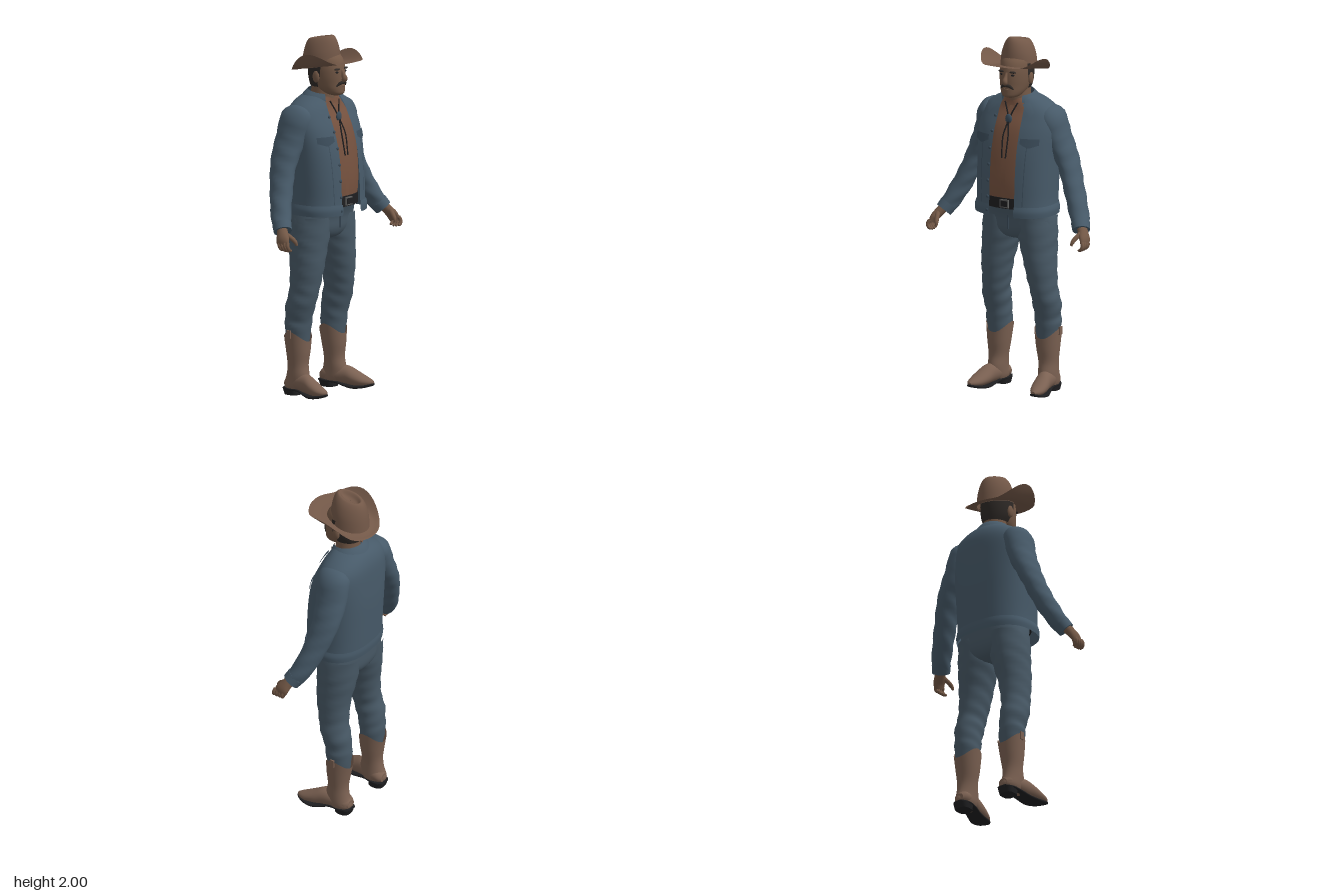
import * as THREE from 'three';

const mat = (name, color, side = THREE.FrontSide) =>
  Object.assign(new THREE.MeshStandardMaterial({ color, side }), { name });
const M = {
  jacket: mat('denim jacket', 0x475a69, THREE.DoubleSide),
  trim: mat('dark denim trim', 0x3b4c5a, THREE.DoubleSide),
  jeans: mat('denim jeans', 0x485966),
  hat: mat('felt hat', 0x735848, THREE.DoubleSide),
  skin: mat('skin', 0x735846),
  shirt: mat('brown shirt', 0x76523f, THREE.DoubleSide),
  boot: mat('boot leather', 0x7b6152, THREE.DoubleSide),
  black: mat('black leather', 0x1f1f21),
  hair: mat('dark hair', 0x2e2926, THREE.DoubleSide),
  metal: mat('dull metal', 0x5f5f5e),
};

// Section row: [x, y, z, radiusU, radiusV, squareness = 1, front opening half-width = 0]
const catmull = (a, b, c, d, t) =>
  0.5 * (2 * b + (c - a) * t + (2 * a - 5 * b + 4 * c - d) * t * t + (3 * b - a - 3 * c + d) * t ** 3);
function resample(rows, sub) {
  const R = rows.map((r) => [...r.slice(0, 5), r[5] ?? 1, r[6] ?? 0]), out = [];
  for (let i = 0; i < R.length - 1; i++)
    for (let s = 0; s < sub; s++)
      out.push(R[i].map((b, k) =>
        catmull((R[i - 1] ?? R[i])[k], b, R[i + 1][k], (R[i + 2] ?? R[i + 1])[k], s / sub)));
  out.push(R[R.length - 1]);
  return out;
}

// Skin through sections. axis 'y' runs downwards, 'z' forwards, 'free' follows the path.
function sweep(rows, { axis = 'y', n = 28, sub = 4, cap = false, warp = null } = {}) {
  const R = resample(rows, sub), open = R.some((r) => r[6] > 0), cols = open ? n + 1 : n;
  const X = new THREE.Vector3(1, 0, 0), Y = new THREE.Vector3(0, 1, 0), Z = new THREE.Vector3(0, 0, 1);
  const at = (i) => new THREE.Vector3(...R[Math.max(0, Math.min(R.length - 1, i))].slice(0, 3));
  const pow = (v, e) => Math.sign(v) * Math.abs(v) ** e;
  const ring = (i, k = 1) => {
    const [, , , ru, rv, e, w] = R[i], c = at(i);
    let u = X, v = axis === 'z' ? Y : Z;
    if (axis === 'free') {
      const t = at(i + 1).sub(at(i - 1)).normalize();
      u = Z.clone().cross(t).normalize();
      v = t.clone().cross(u);
    }
    const gap = open ? Math.asin(Math.min(1, w / ru) ** (1 / e)) : 0;
    return Array.from({ length: cols }, (_, j) => {
      const a = Math.PI / 2 + gap + (2 * Math.PI - 2 * gap) * (j / n);
      const p = c.clone().addScaledVector(u, k * ru * pow(Math.cos(a), e))
        .addScaledVector(v, k * rv * pow(Math.sin(a), e));
      if (warp) warp(p, a);
      return p;
    });
  };
  const rings = R.map((_, i) => ring(i)), last = R.length - 1;
  if (cap) {
    rings.unshift(ring(0, 0), ring(0));
    rings.push(ring(last), ring(last, 0));
  }
  const idx = [];
  for (let i = 0; i < rings.length - 1; i++) {
    if (cap && (i === 1 || i === rings.length - 3)) continue;
    for (let j = 0; j < n; j++) {
      const a = i * cols + j, b = i * cols + ((j + 1) % cols);
      idx.push(a, b, a + cols, b, b + cols, a + cols);
    }
  }
  const g = new THREE.BufferGeometry().setFromPoints(rings.flat());
  g.setIndex(idx);
  g.computeVertexNormals();
  return g;
}

// Front surface depth of a vertical body, and a four-cornered patch laid on it
function frontZ(rows, x, y) {
  const R = resample(rows, 4);
  let i = R.findIndex((r) => r[1] <= y);
  if (i < 1) i = i < 0 ? R.length - 1 : 1;
  const t = (y - R[i - 1][1]) / (R[i][1] - R[i - 1][1]);
  const [cx, , cz, rx, rz, e] = R[i].map((b, k) => THREE.MathUtils.lerp(R[i - 1][k], b, t));
  return cz + rz * Math.max(0, 1 - Math.abs((x - cx) / rx) ** (2 / e)) ** (e / 2);
}
function patch(rows, corners, lift) {
  const g = new THREE.PlaneGeometry(1, 1, 8, 6), p = g.attributes.position;
  const [a, b, c, d] = corners.map((q) => new THREE.Vector2(...q)); // counter-clockwise
  for (let i = 0; i < p.count; i++) {
    const s = p.getX(i) + 0.5, t = p.getY(i) + 0.5;
    const q = a.clone().lerp(b, s).lerp(d.clone().lerp(c, s), t);
    p.setXYZ(i, q.x, q.y, frontZ(rows, q.x, q.y) + lift);
  }
  g.computeVertexNormals();
  return g;
}
const ball = (x, y, z, sx, sy, sz) => new THREE.SphereGeometry(1, 16, 12).scale(sx, sy, sz).translate(x, y, z);
const box = (x, y, z, w, h, d) => new THREE.BoxGeometry(w, h, d).translate(x, y, z);
const fold = (amount) => (p) => { p.x += amount * Math.sin(p.y * 75 + p.z * 30); };

export function createModel() {
  const root = new THREE.Group();
  root.name = 'cowboy';
  const add = (name, geo, material) => {
    const m = new THREE.Mesh(geo, material);
    m.name = name;
    root.add(m);
  };
  const addPair = (name, geo, material) => {
    const g = geo.clone().scale(-1, 1, 1), ix = g.index.array;
    for (let i = 0; i < ix.length; i += 3) [ix[i], ix[i + 1]] = [ix[i + 1], ix[i]];
    add(name + 'Left', geo, material);
    add(name + 'Right', g, material);
  };

  // Hat: creased crown and a brim that dips at the back and curls up at the sides
  const hatWarp = (p) => {
    if (p.y > 1.9) p.x *= 1 - 0.9 * Math.max(0, p.z + 0.03) * (p.y - 1.9) / 0.09;
    p.y += 0.2 * p.z + 0.075 * (Math.max(0, Math.abs(p.x) - 0.1) / 0.086) ** 2;
  };
  add('hatCrown', sweep([
    [-0.005, 1.965, -0.04, 0.001, 0.002], [-0.005, 1.972, -0.04, 0.02, 0.045], [-0.005, 1.993, -0.04, 0.04, 0.068],
    [-0.005, 1.982, -0.04, 0.058, 0.085], [-0.005, 1.95, -0.04, 0.077, 0.098], [-0.005, 1.9, -0.04, 0.092, 0.107],
    [-0.005, 1.83, -0.04, 0.1, 0.112]], { n: 40, warp: hatWarp }), M.hat);
  add('hatBrim', sweep([
    [-0.005, 1.833, -0.04, 0.097, 0.109], [-0.005, 1.83, -0.025, 0.13, 0.15],
    [-0.005, 1.831, -0.01, 0.165, 0.182], [-0.005, 1.83, 0, 0.186, 0.2]], { n: 48, warp: hatWarp }), M.hat);

  // Head, neck and face
  add('head', sweep([
    [0, 1.92, -0.02, 0.04, 0.05], [0, 1.88, -0.015, 0.078, 0.095], [0, 1.83, -0.005, 0.085, 0.106],
    [0, 1.78, 0, 0.084, 0.106], [0, 1.74, 0.006, 0.078, 0.1], [0, 1.705, 0.025, 0.066, 0.082],
    [0, 1.68, 0.045, 0.046, 0.058], [0, 1.668, 0.052, 0.015, 0.02]], { cap: true }), M.skin);
  add('neck', sweep([[0, 1.78, -0.035, 0.065, 0.07], [0, 1.7, -0.03, 0.064, 0.068], [0, 1.6, -0.035, 0.075, 0.07]]), M.skin);
  add('nose', sweep([
    [0, 1.815, 0.098, 0.008, 0.008], [0, 1.79, 0.109, 0.01, 0.012],
    [0, 1.767, 0.119, 0.016, 0.017], [0, 1.755, 0.108, 0.012, 0.01]], { axis: 'free', n: 14, cap: true }), M.skin);
  add('hair', sweep([
    [0, 1.86, -0.014, 0.088, 0.104, 1, 0.084], [0, 1.8, -0.012, 0.09, 0.106, 1, 0.087],
    [0, 1.75, -0.012, 0.085, 0.1, 1, 0.0845], [0, 1.715, -0.02, 0.07, 0.085, 1, 0.0697]]), M.hair);
  addPair('ear', ball(0.088, 1.775, -0.012, 0.012, 0.034, 0.022), M.skin);
  addPair('eyebrow', ball(0.034, 1.82, 0.094, 0.022, 0.006, 0.01), M.hair);
  addPair('eye', ball(0.034, 1.803, 0.093, 0.012, 0.006, 0.006), M.black);
  addPair('moustache', sweep([
    [0, 1.744, 0.108, 0.008, 0.009], [0.02, 1.742, 0.104, 0.009, 0.009], [0.04, 1.724, 0.092, 0.003, 0.004]],
  { axis: 'free', n: 12, cap: true }), M.hair);
  add('lowerLip', ball(0, 1.722, 0.1, 0.02, 0.005, 0.009), M.skin);

  // Shirt with collar and cord tie
  const shirt = [
    [0, 1.665, -0.04, 0.072, 0.075], [0, 1.6, -0.055, 0.15, 0.1, 0.85], [0, 1.5, -0.04, 0.19, 0.132, 0.8],
    [0, 1.36, -0.03, 0.2, 0.152, 0.8], [0, 1.2, -0.02, 0.195, 0.157, 0.8], [0, 1.08, -0.02, 0.19, 0.152, 0.85]];
  const onShirt = (x, y, lift = 0) => new THREE.Vector3(x, y, frontZ(shirt, x, y) + lift);
  add('shirt', sweep(shirt), M.shirt);
  addPair('shirtCollar', patch(shirt, [[0.045, 1.6], [0.075, 1.625], [0.06, 1.66], [0.008, 1.65]], 0.012), M.shirt);
  add('shirtPlacket', patch(shirt, [[-0.013, 1.12], [0.013, 1.12], [0.013, 1.62], [-0.013, 1.62]], 0.004), M.shirt);
  addPair('tieCord', new THREE.TubeGeometry(new THREE.CatmullRomCurve3([
    onShirt(0.04, 1.64, 0.016), onShirt(0.004, 1.55, 0.008), onShirt(0.016, 1.46, 0.008), onShirt(0.012, 1.34, 0.008)]),
  24, 0.004, 6), M.black);
  add('tieSlide', ball(0, 1.552, onShirt(0, 1.552).z + 0.01, 0.021, 0.027, 0.01), M.trim);

  // Open jacket
  const jacket = [
    [0.005, 1.675, -0.05, 0.09, 0.078, 1, 0.062], [0.005, 1.648, -0.06, 0.15, 0.098, 0.95, 0.07],
    [0.005, 1.61, -0.06, 0.205, 0.118, 0.9, 0.076], [0.005, 1.56, -0.055, 0.235, 0.134, 0.85, 0.078],
    [0.005, 1.48, -0.04, 0.24, 0.153, 0.8, 0.08], [0.005, 1.36, -0.025, 0.233, 0.17, 0.8, 0.08],
    [0.005, 1.22, -0.015, 0.228, 0.175, 0.8, 0.08], [0.005, 1.1, -0.01, 0.225, 0.175, 0.8, 0.08],
    [0.005, 1.02, -0.005, 0.23, 0.175, 0.8, 0.08]];
  add('jacketBody', sweep(jacket, { n: 48 }), M.jacket);
  add('jacketHem', sweep([
    [0.005, 1.078, -0.008, 0.228, 0.178, 0.8, 0.08], [0.005, 1.05, -0.006, 0.236, 0.181, 0.8, 0.08],
    [0.005, 1.018, -0.005, 0.234, 0.178, 0.8, 0.08]], { n: 48 }), M.jacket);
  add('jacketCollar', sweep([
    [0, 1.688, -0.035, 0.083, 0.08, 1, 0.055], [0, 1.665, -0.042, 0.105, 0.092, 1, 0.06],
    [0, 1.632, -0.05, 0.128, 0.103, 1, 0.064]], { warp: (p) => { p.y -= 0.16 * (p.z + 0.04); } }), M.jacket);
  addPair('collarPoint', patch(jacket, [[0.135, 1.572], [0.148, 1.6], [0.105, 1.65], [0.072, 1.635]], 0.012), M.jacket);
  addPair('pocketFlap', patch(jacket, [[0.1, 1.43], [0.2, 1.425], [0.2, 1.46], [0.1, 1.46]], 0.008), M.trim);
  addPair('pocketFlapPoint', patch(jacket, [[0.145, 1.41], [0.155, 1.41], [0.2, 1.426], [0.1, 1.431]], 0.008), M.trim);
  addPair('chestSeam', patch(jacket, [[0.128, 1.08], [0.132, 1.08], [0.142, 1.42], [0.138, 1.42]], 0.003), M.trim);
  for (const y of [1.56, 1.48, 1.39, 1.3, 1.21, 1.12, 1.045])
    add('jacketButton', ball(-0.085, y, frontZ(jacket, -0.085, y) + 0.006, 0.009, 0.009, 0.005), M.trim);

  // Sleeves and cuffs
  addPair('sleeve', sweep([
    [0.15, 1.59, -0.06, 0.04, 0.07], [0.185, 1.555, -0.065, 0.075, 0.1], [0.222, 1.45, -0.078, 0.069, 0.094],
    [0.265, 1.36, -0.083, 0.061, 0.086], [0.3, 1.28, -0.077, 0.055, 0.077], [0.335, 1.19, -0.057, 0.054, 0.069],
    [0.375, 1.1, -0.03, 0.054, 0.062], [0.415, 1.02, 0.005, 0.05, 0.056], [0.44, 0.975, 0.035, 0.044, 0.048]],
  { axis: 'free', cap: true, warp: fold(0.003) }), M.jacket);
  addPair('cuff', sweep([[0.424, 1.004, 0.016, 0.05, 0.055], [0.443, 0.97, 0.038, 0.047, 0.051]],
    { axis: 'free', cap: true }), M.jacket);

  // Hands
  addPair('palm', sweep([
    [0.44, 0.99, 0.03, 0.026, 0.03], [0.462, 0.96, 0.05, 0.026, 0.032],
    [0.482, 0.93, 0.068, 0.022, 0.04], [0.49, 0.903, 0.08, 0.014, 0.036]], { axis: 'free', n: 18, cap: true }), M.skin);
  for (let i = 0; i < 4; i++) {
    const z = 0.052 + i * 0.019, tip = 0.875 - 0.007 * Math.sin(i * 1.05);
    addPair('finger', sweep([
      [0.49, 0.92, z, 0.011, 0.01], [0.498, 0.9, z + 0.006, 0.011, 0.01],
      [0.49, 0.882, z + 0.01, 0.01, 0.009], [0.474, tip, z + 0.012, 0.006, 0.006]],
    { axis: 'free', n: 10, cap: true }), M.skin);
  }
  addPair('thumb', sweep([
    [0.465, 0.965, 0.065, 0.015, 0.014], [0.447, 0.94, 0.1, 0.013, 0.013],
    [0.438, 0.918, 0.122, 0.011, 0.011], [0.434, 0.898, 0.128, 0.006, 0.006]], { axis: 'free', n: 12, cap: true }), M.skin);

  // Belt and buckle
  add('belt', sweep([[0, 1.115, -0.02, 0.194, 0.158, 0.85], [0, 1.055, -0.022, 0.198, 0.158, 0.85]], { cap: true }), M.black);
  add('buckleFrame', box(0.01, 1.085, 0.14, 0.056, 0.046, 0.009), M.metal);
  add('buckleCentre', box(0.01, 1.085, 0.144, 0.042, 0.032, 0.009), M.black);

  // Jeans
  add('jeansHips', sweep([
    [0, 1.075, -0.028, 0.192, 0.148, 0.85], [0, 1.0, -0.042, 0.212, 0.13, 0.85], [0, 0.93, -0.044, 0.213, 0.122, 0.9],
    [0, 0.885, -0.044, 0.15, 0.1], [0, 0.865, -0.044, 0.05, 0.06]], { cap: true }), M.jeans);
  addPair('jeansLeg', sweep([
    [0.105, 1.0, -0.045, 0.108, 0.126], [0.112, 0.9, -0.042, 0.11, 0.12], [0.123, 0.82, -0.04, 0.1, 0.112],
    [0.138, 0.72, -0.034, 0.088, 0.1], [0.148, 0.62, -0.04, 0.078, 0.09], [0.156, 0.56, -0.048, 0.074, 0.087],
    [0.16, 0.5, -0.064, 0.078, 0.086], [0.157, 0.43, -0.077, 0.071, 0.077], [0.157, 0.38, -0.082, 0.073, 0.074],
    [0.156, 0.28, -0.083, 0.06, 0.06]], { warp: fold(0.003) }), M.jeans);
  add('jeansFly', box(0, 0.99, 0.088, 0.005, 0.12, 0.006), M.trim);

  // Boots: scalloped shaft, pointed foot, dark sole and heel
  addPair('bootShaft', sweep([
    [0.155, 0.333, -0.085, 0.077, 0.076], [0.157, 0.25, -0.081, 0.067, 0.068], [0.16, 0.17, -0.08, 0.055, 0.06],
    [0.162, 0.11, -0.078, 0.053, 0.07], [0.162, 0.06, -0.088, 0.052, 0.077], [0.162, 0.038, -0.09, 0.046, 0.07]],
  { warp: (p, a) => { p.y += Math.max(0, p.y - 0.2) * 0.21 * Math.cos(2 * a); } }), M.boot);
  addPair('bootFoot', sweep([
    [0.155, 0.06, -0.16, 0.028, 0.025], [0.158, 0.068, -0.13, 0.047, 0.042], [0.165, 0.072, -0.06, 0.051, 0.05],
    [0.178, 0.07, 0, 0.047, 0.052], [0.188, 0.056, 0.05, 0.049, 0.042], [0.197, 0.044, 0.1, 0.043, 0.029],
    [0.203, 0.04, 0.135, 0.028, 0.018], [0.206, 0.04, 0.155, 0.01, 0.008]], { axis: 'z', cap: true }), M.boot);
  addPair('bootSole', sweep([
    [0.156, 0.034, -0.168, 0.03, 0.007, 0.6], [0.159, 0.034, -0.12, 0.051, 0.008, 0.6],
    [0.166, 0.032, -0.05, 0.045, 0.008, 0.6], [0.178, 0.018, 0, 0.046, 0.008, 0.6], [0.189, 0.01, 0.05, 0.051, 0.009, 0.6],
    [0.197, 0.015, 0.1, 0.044, 0.009, 0.6], [0.203, 0.024, 0.135, 0.029, 0.008, 0.6],
    [0.206, 0.031, 0.157, 0.011, 0.006, 0.6]], { axis: 'z', cap: true }), M.black);
  addPair('bootHeel', sweep([[0.158, 0.034, -0.12, 0.048, 0.05, 0.7], [0.158, 0, -0.115, 0.043, 0.044, 0.7]],
    { cap: true, sub: 1 }), M.black);
  addPair('bootPullTab', box(0.232, 0.347, -0.088, 0.008, 0.045, 0.026), M.boot);

  return root;
}
